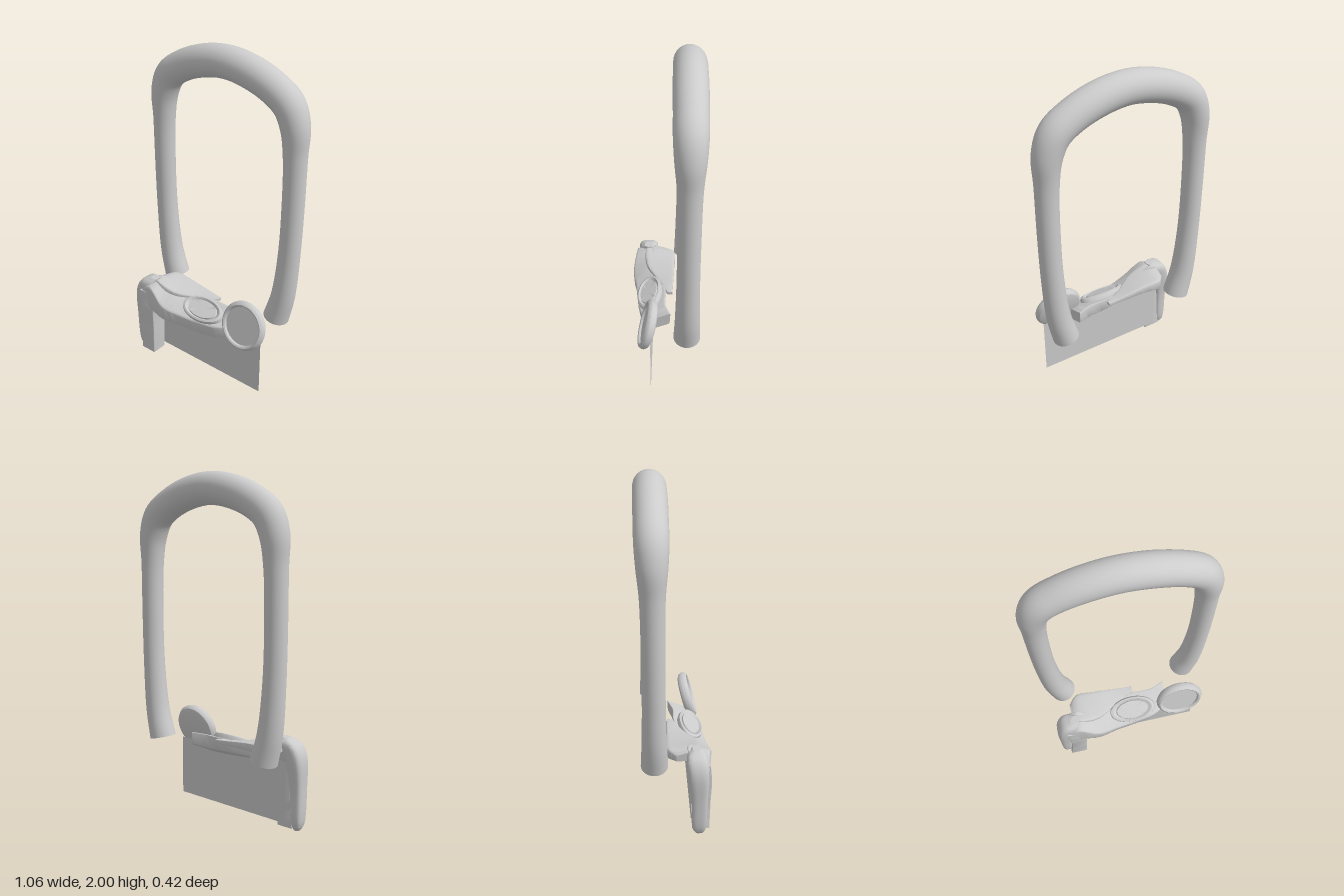
import * as THREE from 'three';
import { toCreasedNormals } from 'three/addons/utils/BufferGeometryUtils.js';

const mat = new THREE.MeshStandardMaterial({ color: 0xcccccc });
const thinMat = new THREE.MeshStandardMaterial({ color: 0xcccccc, side: THREE.DoubleSide });
const V = (x, y, z) => new THREE.Vector3(x, y, z);

function add(parent, name, geometry, material = mat) {
  const mesh = new THREE.Mesh(geometry, material);
  mesh.name = name;
  parent.add(mesh);
  return mesh;
}

// Skin over equal rings, each running counter-clockwise seen from the far end
function skin(rings, capped) {
  const n = rings[0].length, pos = rings.flat().flatMap(p => [p.x, p.y, p.z]), index = [];
  for (let i = 0; i < rings.length - 1; i++) for (let j = 0; j < n; j++) {
    const k = (j + 1) % n, a = i * n + j, b = i * n + k;
    index.push(a, b, b + n, a, b + n, a + n);
  }
  const last = (rings.length - 1) * n;
  if (capped) for (let j = 1; j < n - 1; j++) {
    index.push(0, j + 1, j, last, last + j, last + j + 1);
  }
  const g = new THREE.BufferGeometry();
  g.setAttribute('position', new THREE.Float32BufferAttribute(pos, 3));
  g.setIndex(index);
  g.computeVertexNormals();
  return g;
}

// Smooth loft through four-cornered sections with rounded corners
function loft(sections, round = 0.15, steps = 30) {
  const rails = [0, 1, 2, 3].map(c => new THREE.CatmullRomCurve3(sections.map(s => s[c])));
  const rings = [];
  for (let i = 0; i <= steps; i++) {
    const q = rails.map(r => r.getPoint(i / steps)), ring = [];
    q.forEach((p, c) => {
      const a = p.clone().lerp(q[(c + 3) % 4], round), b = p.clone().lerp(q[(c + 1) % 4], round);
      const bend = new THREE.QuadraticBezierCurve3(a, p, b);
      for (let k = 0; k <= 4; k++) ring.push(bend.getPoint(k / 4));
    });
    rings.push(ring);
  }
  return toCreasedNormals(skin(rings, true), 0.6);
}
// Section across x: front-bottom, back-bottom, back-top, front-top as [z, y]
const acrossX = (x, ...c) => c.map(([z, y]) => V(x, y, z));
// Section across y: a rectangle in x and z
const acrossY = (y, x0, x1, z0, z1) => [V(x0, y, z1), V(x1, y, z1), V(x1, y, z0), V(x0, y, z0)];

function handleGeometry() {
  // x, y, radius up one side; mirrored for the other
  const half = [
    [-0.39, 0.455, 0.077], [-0.43, 0.62, 0.07], [-0.455, 0.9, 0.063], [-0.462, 1.2, 0.062],
    [-0.458, 1.5, 0.066], [-0.446, 1.66, 0.08], [-0.4, 1.765, 0.087], [-0.3, 1.835, 0.088],
    [-0.15, 1.89, 0.09],
  ];
  const all = [...half, [0, 1.91, 0.09], ...half.map(([x, y, r]) => [-x, y, r]).reverse()];
  // the radius rides along as the third coordinate
  const curve = new THREE.CatmullRomCurve3(all.map(p => V(...p)));
  const rings = [];
  for (let i = 0; i <= 120; i++) {
    const p = curve.getPoint(i / 120), t = curve.getTangent(i / 120).setZ(0).normalize();
    const ring = [];
    for (let j = 0; j < 32; j++) {
      const a = j / 32 * Math.PI * 2, u = p.z * Math.cos(a);
      ring.push(V(p.x - t.y * u, p.y + t.x * u, -0.125 + p.z * Math.sin(a)));
    }
    // side normal x depth = tangent x z turned: reverse to face outward
    rings.push(ring.reverse());
  }
  return skin(rings, false);
}

// Turned disc with a raised rim and sunken face; profile as [radius, height]
const turned = profile => toCreasedNormals(
  new THREE.LatheGeometry(profile.map(p => new THREE.Vector2(...p)), 48), 0.6);

export function createModel() {
  const model = new THREE.Group();
  model.name = 'handleAndClamp';

  // Open-ended hoop handle
  add(model, 'handle', handleGeometry(), thinMat);

  // Thin upright plate behind the clamp
  const plate = add(model, 'backPlate', new THREE.PlaneGeometry(0.81, 0.36), thinMat);
  plate.position.set(0.025, 0.22, 0.085);

  // Clamp bar sloping down toward the front
  add(model, 'clampBar', loft([
    acrossX(-0.43, [0.19, 0.36], [0.08, 0.4], [0.08, 0.48], [0.18, 0.45]),
    acrossX(-0.34, [0.2, 0.36], [0.09, 0.4], [0.06, 0.54], [0.19, 0.51]),
    acrossX(-0.22, [0.205, 0.33], [0.1, 0.38], [0.09, 0.5], [0.21, 0.43]),
    acrossX(-0.1, [0.18, 0.325], [0.05, 0.39], [0.04, 0.48], [0.19, 0.41]),
    acrossX(0.02, [0.165, 0.325], [0.01, 0.4], [0, 0.485], [0.175, 0.41]),
    acrossX(0.15, [0.14, 0.33], [0, 0.4], [0, 0.485], [0.155, 0.42]),
    acrossX(0.24, [0.09, 0.36], [-0.025, 0.41], [-0.03, 0.49], [0.105, 0.43]),
  ], 0.1));

  // Thin tapering arm reaching back to the handle
  add(model, 'rearArm', loft([
    acrossX(-0.37, [0.11, 0.47], [0, 0.46], [0, 0.5], [0.11, 0.535]),
    acrossX(-0.32, [0.14, 0.47], [-0.05, 0.45], [-0.05, 0.515], [0.13, 0.535]),
    acrossX(-0.2, [0.12, 0.46], [-0.05, 0.46], [-0.05, 0.51], [0.12, 0.5]),
    acrossX(-0.08, [0.05, 0.45], [-0.045, 0.46], [-0.045, 0.495], [0.05, 0.48]),
    acrossX(0.04, [-0.01, 0.46], [-0.04, 0.46], [-0.04, 0.48], [-0.01, 0.48]),
  ]));

  // Downward leg: square inner post and rounded outer shell
  add(model, 'legPost', loft([
    acrossY(0.018, -0.425, -0.32, 0.09, 0.19),
    acrossY(0.2, -0.41, -0.312, 0.09, 0.195),
    acrossY(0.34, -0.41, -0.305, 0.09, 0.2),
    acrossY(0.46, -0.42, -0.29, 0.09, 0.19),
  ], 0.06));
  add(model, 'legShell', loft([
    acrossY(0.004, -0.45, -0.42, 0.11, 0.15),
    acrossY(0.04, -0.468, -0.41, 0.09, 0.165),
    acrossY(0.25, -0.478, -0.4, 0.08, 0.175),
    acrossY(0.44, -0.475, -0.37, 0.06, 0.18),
    acrossY(0.51, -0.44, -0.34, 0.06, 0.17),
    acrossY(0.54, -0.38, -0.33, 0.09, 0.14),
  ], 0.35));

  // Oval button on the bar, tilted forward
  const button = add(model, 'ovalButton', turned([
    [0, -0.03], [0.142, -0.03], [0.146, 0], [0.14, 0.014], [0.125, 0.018], [0.112, 0.012],
    [0.104, 0.006], [0.1, 0.015], [0, 0.017],
  ]));
  button.scale.z = 0.55;
  button.rotation.x = 0.47;
  button.position.set(0.015, 0.452, 0.1);

  // Round dial with a rolled rim, leaning back
  const dial = add(model, 'roundDial', turned([
    [0, -0.03], [0.115, -0.03], [0.135, -0.022], [0.146, -0.004], [0.146, 0.008], [0.138, 0.024],
    [0.128, 0.03], [0.119, 0.026], [0.114, 0.014], [0, 0.014],
  ]));
  dial.rotation.x = Math.PI / 2 - 0.27;
  dial.position.set(0.32, 0.48, 0.1);

  return model;
}
